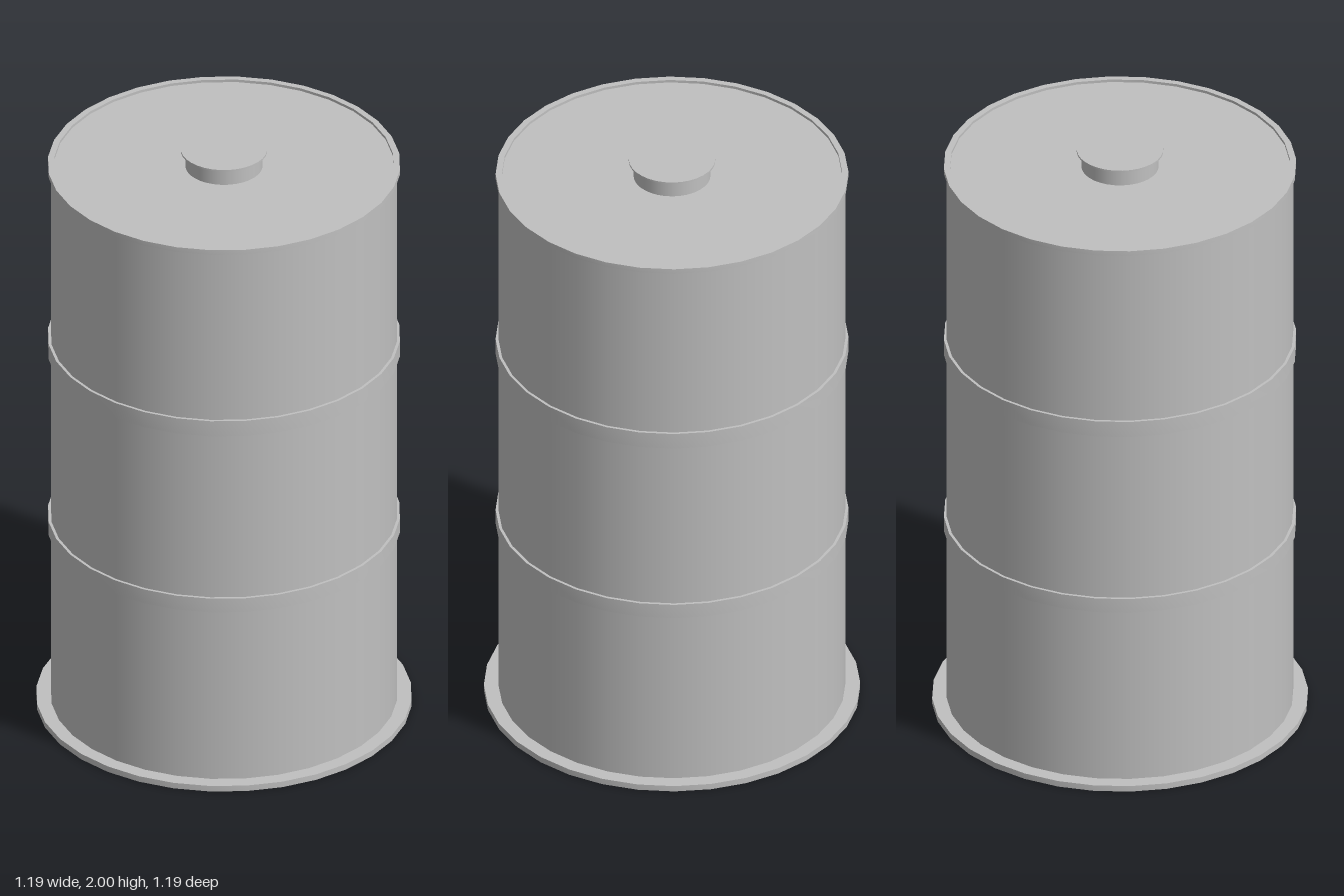
import * as THREE from 'three';
import { toCreasedNormals } from 'three/addons/utils/BufferGeometryUtils.js';

const SIDES = 32;

export function createModel() {
  const group = new THREE.Group();
  const steel = new THREE.MeshStandardMaterial({ color: 0xc0c0c0 });
  steel.name = 'greySteel';

  const add = (name, geometry) => {
    const mesh = new THREE.Mesh(geometry, steel);
    mesh.name = name;
    group.add(mesh);
  };

  // Closed disc or cylinder between two heights
  const drum = (name, radius, y0, y1) =>
    add(name, new THREE.CylinderGeometry(radius, radius, y1 - y0, SIDES).translate(0, (y0 + y1) / 2, 0));

  // Rectangular-section ring, smooth around and sharp at its edges
  const ring = (name, inner, outer, y0, y1) => {
    const profile = [[inner, y0], [outer, y0], [outer, y1], [inner, y1], [inner, y0]]
      .map(([r, y]) => new THREE.Vector2(r, y));
    add(name, toCreasedNormals(new THREE.LatheGeometry(profile, SIDES), Math.PI / 4));
  };

  // Barrel, its ends set slightly inside the rims
  drum('body', 0.549, 0.008, 1.938);
  ring('baseFlange', 0.545, 0.595, 0, 0.02);
  ring('lowerHoop', 0.54, 0.558, 0.63, 0.68);
  ring('upperHoop', 0.54, 0.558, 1.27, 1.325);
  ring('topRim', 0.538, 0.558, 1.93, 1.947);

  // Filler neck and overhanging cap
  drum('fillerNeck', 0.122, 1.93, 1.996);
  drum('fillerCap', 0.137, 1.994, 2);

  return group;
}
